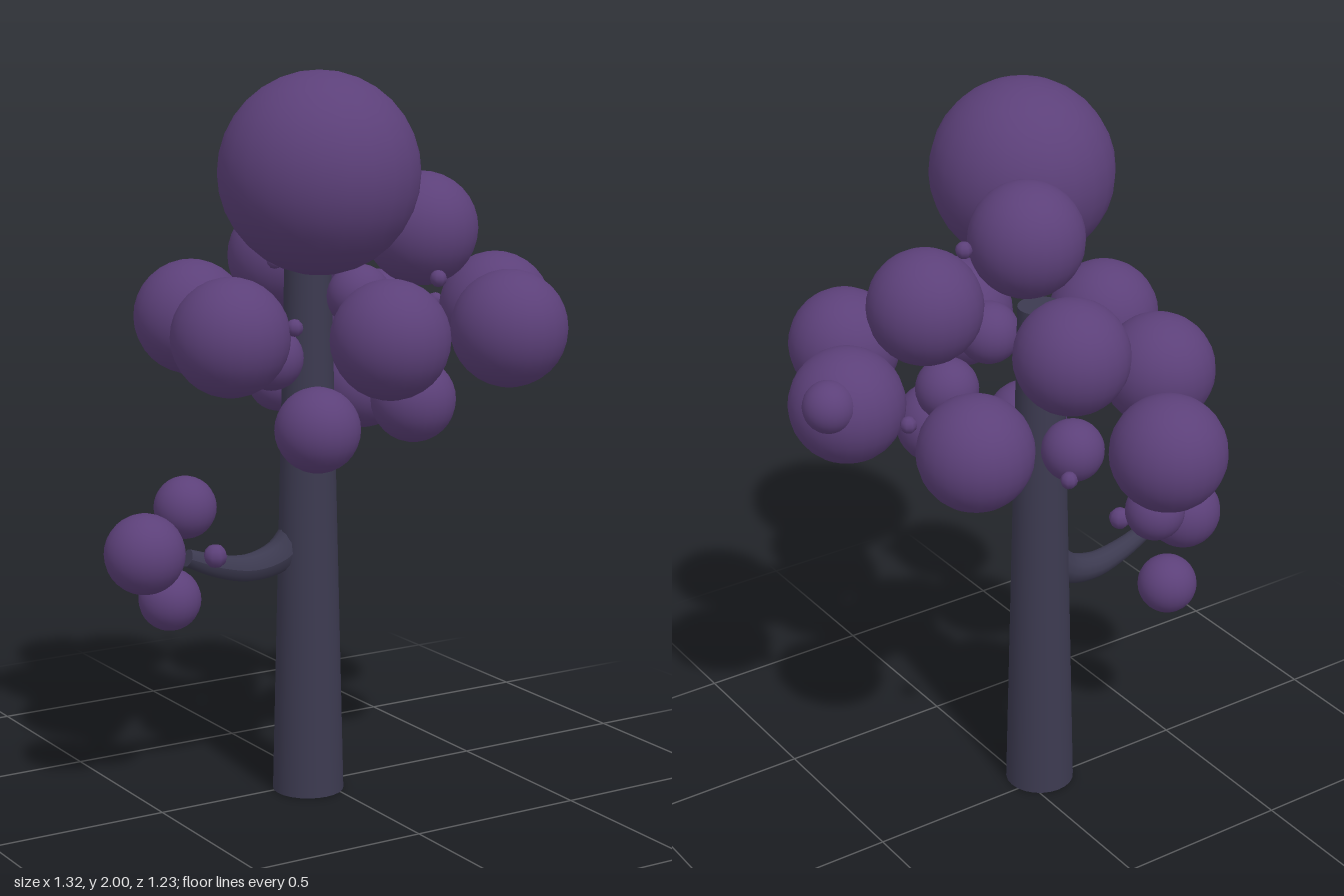
import * as THREE from 'three';

const bark = new THREE.MeshStandardMaterial({ color: 0x3c3a50 });
const leaf = new THREE.MeshStandardMaterial({ color: 0x5c4079 });

// Each group of foliage balls shares a radius; entries are [x, y, z]
const CLUSTERS = [
  { name: 'crownBall', r: 0.257, at: [[-0.22, 1.743, 0.355]] },
  { name: 'largeFoliageBall', r: 0.155, at: [
    [0.015, 1.72, -0.01], [0.26, 1.55, 0.1], [0.01, 1.46, -0.21],
    [0.49, 1.32, 0.125], [0.3, 1.32, 0.457], [-0.07, 1.32, 0.457],
    [-0.4, 1.32, 0.215], [-0.31, 1.32, -0.16],
    [0.29, 1.25, -0.18], [-0.12, 1.25, -0.46]] },
  { name: 'mediumFoliageBall', r: 0.114, at: [
    [0.135, 1.115, 0.255], [-0.145, 1.055, 0.225], [0.12, 1.12, 0.03]] },
  { name: 'smallFoliageBall', r: 0.086, at: [
    [0.02, 1.39, 0.165], [-0.2, 1.23, 0.08], [0.19, 1.29, 0.11], [-0.06, 1.13, -0.12]] },
  { name: 'sideFoliageBall', r: 0.07, at: [[0.585, 1.37, 0.052]] },
  { name: 'berry', r: 0.023, at: [
    [0.215, 1.74, -0.02], [0.185, 1.44, 0.295], [-0.26, 1.345, 0.3],
    [0.42, 1.32, -0.065], [0.14, 1.215, -0.385], [-0.13, 1.475, -0.02]] },
  { name: 'branchEndBall', r: 0.108, at: [[-0.553, 0.73, 0.02]] },
  { name: 'branchBall', r: 0.085, at: [[-0.385, 0.82, -0.065], [-0.432, 0.57, -0.07]] },
  { name: 'branchBerry', r: 0.032, at: [[-0.385, 0.72, 0.1]] },
];

// Curved tube whose radius shrinks from r0 to r1
function taperedTube(points, r0, r1, steps, sides) {
  const curve = new THREE.CatmullRomCurve3(points.map(p => new THREE.Vector3(...p)));
  const geo = new THREE.TubeGeometry(curve, steps, 1, sides);
  const pos = geo.attributes.position;
  const v = new THREE.Vector3();
  for (let i = 0; i < pos.count; i++) {
    const t = Math.floor(i / (sides + 1)) / steps;
    const c = curve.getPointAt(t);
    v.fromBufferAttribute(pos, i).sub(c).multiplyScalar(r0 + (r1 - r0) * t).add(c);
    pos.setXYZ(i, v.x, v.y, v.z);
  }
  geo.computeVertexNormals();
  return geo;
}

export function createModel() {
  const group = new THREE.Group();
  group.name = 'tree';

  // Tapered trunk
  const trunk = new THREE.Mesh(new THREE.CylinderGeometry(0.062, 0.098, 1.5, 24), bark);
  trunk.name = 'trunk';
  trunk.position.set(-0.055, 0.75, 0.027);
  group.add(trunk);

  // Drooping side branch with a closed tip
  const path = [[-0.07, 0.74, 0.02], [-0.14, 0.675, 0.02], [-0.23, 0.652, 0.02],
    [-0.33, 0.668, 0.024], [-0.43, 0.705, 0.028]];
  const branch = new THREE.Mesh(taperedTube(path, 0.052, 0.024, 16, 12), bark);
  branch.name = 'branch';
  const tip = new THREE.Mesh(new THREE.CircleGeometry(0.024, 12), bark);
  tip.name = 'branchTip';
  tip.position.set(...path[4]);
  tip.lookAt(-0.53, 0.745, 0.03);
  group.add(branch, tip);

  // Foliage balls and berries
  for (const { name, r, at } of CLUSTERS) {
    const geo = r < 0.04 ? new THREE.SphereGeometry(r, 8, 6) : new THREE.SphereGeometry(r, 24, 16);
    at.forEach((p, i) => {
      const ball = new THREE.Mesh(geo, leaf);
      ball.name = at.length > 1 ? name + (i + 1) : name;
      ball.position.set(...p);
      group.add(ball);
    });
  }
  return group;
}
